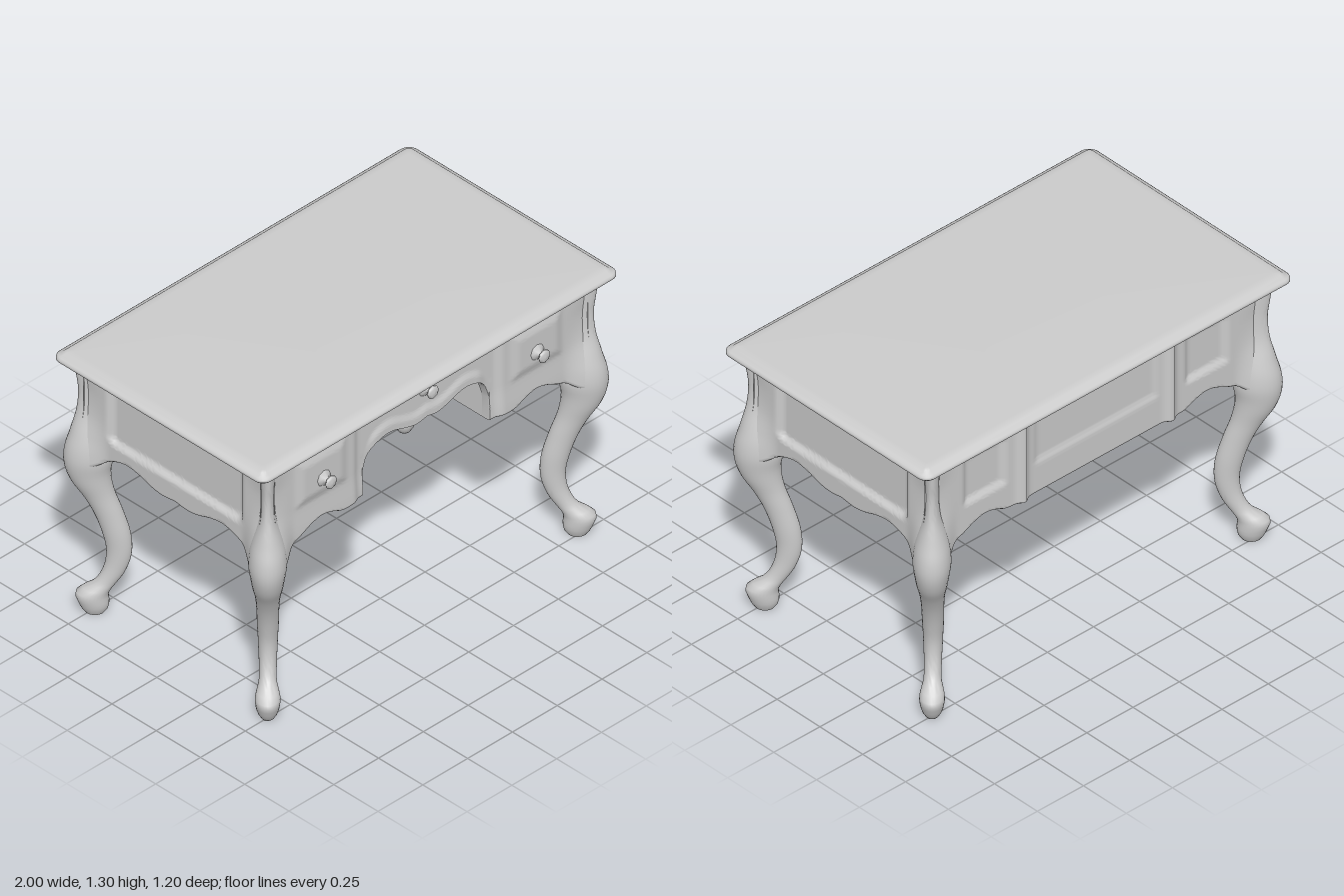
import * as THREE from 'three';
import { toCreasedNormals } from 'three/addons/utils/BufferGeometryUtils.js';

const material = new THREE.MeshStandardMaterial({ color: 0xcccccc });
const { smoothstep } = THREE.MathUtils;
const SHIFT = 0.375; // difference between half length and half depth

// Smooth function through [position, value] pairs
function through(pairs) {
  const f = new THREE.CubicInterpolant(pairs.map(p => p[0]), pairs.map(p => p[1]), 1);
  return t => f.evaluate(t)[0];
}

// Skin over closed rings of [x, y, z] points, capped at both ends
function loft(rings, crease = 1) {
  const n = rings[0].length, m = rings.length, pos = rings.flat(2), index = [];
  for (let i = 0; i < m - 1; i++) {
    for (let j = 0; j < n; j++) {
      const k = (j + 1) % n;
      const a = i * n + j, b = i * n + k, c = a + n, d = b + n;
      index.push(a, c, b, b, c, d);
    }
  }
  [0, m - 1].forEach((row, end) => {
    const centre = pos.length / 3;
    for (let k = 0; k < 3; k++) pos.push(rings[row].reduce((s, p) => s + p[k], 0) / n);
    for (let j = 0; j < n; j++) {
      const a = row * n + j, b = row * n + (j + 1) % n;
      index.push(centre, end ? b : a, end ? a : b);
    }
  });
  const g = new THREE.BufferGeometry();
  g.setAttribute('position', new THREE.Float32BufferAttribute(pos, 3));
  g.setIndex(index);
  return toCreasedNormals(g, crease);
}

function add(parent, name, geometry, x = 0, y = 0, z = 0) {
  const mesh = new THREE.Mesh(geometry, material);
  mesh.name = name;
  mesh.position.set(x, y, z);
  parent.add(mesh);
  return mesh;
}

// Cabriole leg: outer and inner distances by height
const legOuter = through([[0, 0.522], [0.02, 0.535], [0.06, 0.55], [0.085, 0.556], [0.105, 0.55], [0.14, 0.507],
  [0.2, 0.478], [0.3, 0.466], [0.4, 0.48], [0.5, 0.505], [0.58, 0.535], [0.66, 0.573], [0.75, 0.595],
  [0.82, 0.592], [0.9, 0.572], [1, 0.547], [1.1, 0.54], [1.18, 0.547], [1.27, 0.556]]);
const legInner = through([[0, 0.455], [0.02, 0.442], [0.05, 0.436], [0.1, 0.436], [0.2, 0.395], [0.28, 0.376],
  [0.38, 0.376], [0.5, 0.398], [0.6, 0.42], [0.7, 0.426], [0.78, 0.415], [0.9, 0.43], [1, 0.45], [1.27, 0.46]]);

// Oval sections with their long axis on the diagonal, slimmer in the corner post
function legGeometry() {
  const rings = [];
  for (let i = 0; i <= 64; i++) {
    const y = 1.27 * i / 64, o = legOuter(y), n = legInner(y), c = (o + n) / 2, r = (o - n) / 2;
    const across = 0.86 - 0.2 * smoothstep(y, 0.85, 1.05), along = Math.sqrt(2 - across * across);
    rings.push(Array.from({ length: 28 }, (_, j) => {
      const t = j / 28 * Math.PI * 2;
      const u = r * along * Math.cos(t) / Math.SQRT2, v = r * across * Math.sin(t) / Math.SQRT2;
      return [SHIFT + c + u - v, y, c + u + v];
    }));
  }
  return loft(rings);
}

// 0..1 mask of a rounded rectangle with a soft bevel of width s inside its edge
function plate(x, y, cx, cy, hw, hh, r, s) {
  const qx = Math.abs(x - cx) - hw + r, qy = Math.abs(y - cy) - hh + r;
  const d = Math.hypot(Math.max(qx, 0), Math.max(qy, 0)) + Math.min(Math.max(qx, qy), 0) - r;
  return smoothstep(-d, 0, s);
}

// Apron: carved board facing +z, with a scalloped lower edge, swelling into the knees
function apronGeometry(half, bottom, depth, extra = []) {
  const xs = [...extra], steps = Math.round(half / 0.006), rows = 56, top = 1.262;
  for (let i = 0; i <= steps; i++) xs.push(-half + 2 * half * i / steps);
  xs.sort((a, b) => a - b);
  return loft(xs.map(x => {
    const b = bottom(Math.abs(x)), ring = [];
    for (let j = 0; j <= rows; j++) {
      const y = b + (top - b) * j / rows;
      const flare = smoothstep(Math.abs(x), half - 0.13, half) * (legOuter(y) - 0.54) * 0.9;
      ring.push([x, y, depth(Math.abs(x), y, b) + flare - (j === 0 ? 0.01 : 0)]);
    }
    ring.push([x, top, 0.465], [x, b, 0.465]);
    return ring;
  }));
}

const pedestalEdge = through([[0.3, 0.83], [0.4, 0.83], [0.48, 0.831], [0.54, 0.855], [0.6, 0.867], [0.66, 0.853],
  [0.72, 0.825], [0.77, 0.806], [0.8, 0.783], [0.83, 0.765], [0.875, 0.755]]);
const archEdge = through([[0, 1.04], [0.06, 1.031], [0.12, 1.045], [0.2, 1.07], [0.26, 1.064], [0.31, 1.037],
  [0.34, 0.99], [0.354, 0.94]]);
const sideEdge = through([[0, 0.812], [0.07, 0.804], [0.12, 0.81], [0.2, 0.835], [0.27, 0.845], [0.34, 0.828],
  [0.39, 0.803], [0.42, 0.78], [0.45, 0.763], [0.5, 0.755]]);

const frontEdge = x => x < 0.3545 ? archEdge(x) : pedestalEdge(x);
const backEdge = x => x < 0.42 ? 0.83 : pedestalEdge(x);

// Front: raised drawer fronts and a lip along the arch
const frontDepth = (x, y, b) => 0.506
  + 0.016 * smoothstep(x, 0.375, 0.42)
  + 0.013 * plate(x, y, 0.6, 1.085, 0.155, 0.125, 0.03, 0.06)
  + 0.01 * (1 - smoothstep(y - b, 0.03, 0.07)) * (1 - smoothstep(x, 0.28, 0.34))
  + 0.006 * (1 - smoothstep(y, 0.84, 0.98));

// Back: pilasters and three sunk panels
const backDepth = (x, y) => 0.515
  + 0.022 * Math.exp(-(((x - 0.4) / 0.024) ** 2))
  - 0.01 * plate(x, y, 0, 1.09, 0.345, 0.125, 0.03, 0.04)
  - 0.018 * plate(x, y, 0.6, 1.075, 0.125, 0.125, 0.03, 0.04);

// Sides: one large sunk panel with rounded corners
const sideDepth = (x, y) => 0.525 - 0.024 * plate(x, y, 0, 1.053, 0.387, 0.152, 0.05, 0.03);

// Rounded rectangle ring of the table top
function topRing(inset, y) {
  const ring = [], r = 0.05, seg = 6;
  [[1, 1], [-1, 1], [-1, -1], [1, -1]].forEach(([sx, sz], q) => {
    for (let k = 0; k <= seg; k++) {
      const t = (q + k / seg) * Math.PI / 2, rr = Math.max(r - inset, 0.012);
      ring.push([sx * (1 - inset - rr) + rr * Math.cos(t), y, sz * (0.6 - inset - rr) + rr * Math.sin(t)]);
    }
  });
  return ring;
}

function knobGeometry() {
  const profile = [[0.045, -0.006], [0.034, 0.004], [0.018, 0.014], [0.011, 0.024], [0.013, 0.032],
    [0.029, 0.036], [0.03, 0.044], [0.02, 0.05], [0, 0.052]];
  const g = new THREE.LatheGeometry(profile.map(p => new THREE.Vector2(...p)), 8);
  return g.rotateX(Math.PI / 2);
}

export function createModel() {
  const desk = new THREE.Group();
  desk.name = 'writingDesk';

  // Moulded top
  add(desk, 'tableTop', loft([[0.04, 1.256], [0.008, 1.258], [0, 1.266], [0.001, 1.276], [0.008, 1.282],
    [0.022, 1.286], [0.03, 1.294], [0.042, 1.299], [0.065, 1.3]].map(p => topRing(...p))));

  // Four mirrored legs
  const leg = legGeometry();
  for (const sx of [1, -1]) for (const sz of [1, -1]) {
    add(desk, (sz > 0 ? 'front' : 'back') + (sx > 0 ? 'Left' : 'Right') + 'Leg', leg).scale.set(sx, 1, sz);
  }

  // Aprons on all four sides
  const seams = [-0.355, -0.354, 0.354, 0.355];
  add(desk, 'frontApron', apronGeometry(0.875, frontEdge, frontDepth, seams));
  add(desk, 'backApron', apronGeometry(0.875, backEdge, backDepth)).rotation.y = Math.PI;
  const side = apronGeometry(0.5, sideEdge, sideDepth);
  const knob = knobGeometry();
  for (const s of [1, -1]) {
    const name = s > 0 ? 'left' : 'right';
    add(desk, name + 'Apron', side, s * SHIFT).rotation.y = s * Math.PI / 2;

    // Drawer pedestal floor and the wall of the knee space
    add(desk, name + 'PedestalFloor', new THREE.BoxGeometry(0.49, 0.01, 0.95), s * 0.605, 0.87, 0);
    add(desk, name + 'KneeWall', new THREE.BoxGeometry(0.012, 0.425, 0.96), s * 0.361, 1.0425, 0);
    add(desk, name + 'DrawerKnob', knob, s * 0.595, 1.06, 0.534);
  }
  add(desk, 'kneeCeiling', new THREE.BoxGeometry(0.72, 0.01, 0.95), 0, 1.08, 0);
  add(desk, 'centreDrawerKnob', knob, 0, 1.18, 0.507);
  return desk;
}
